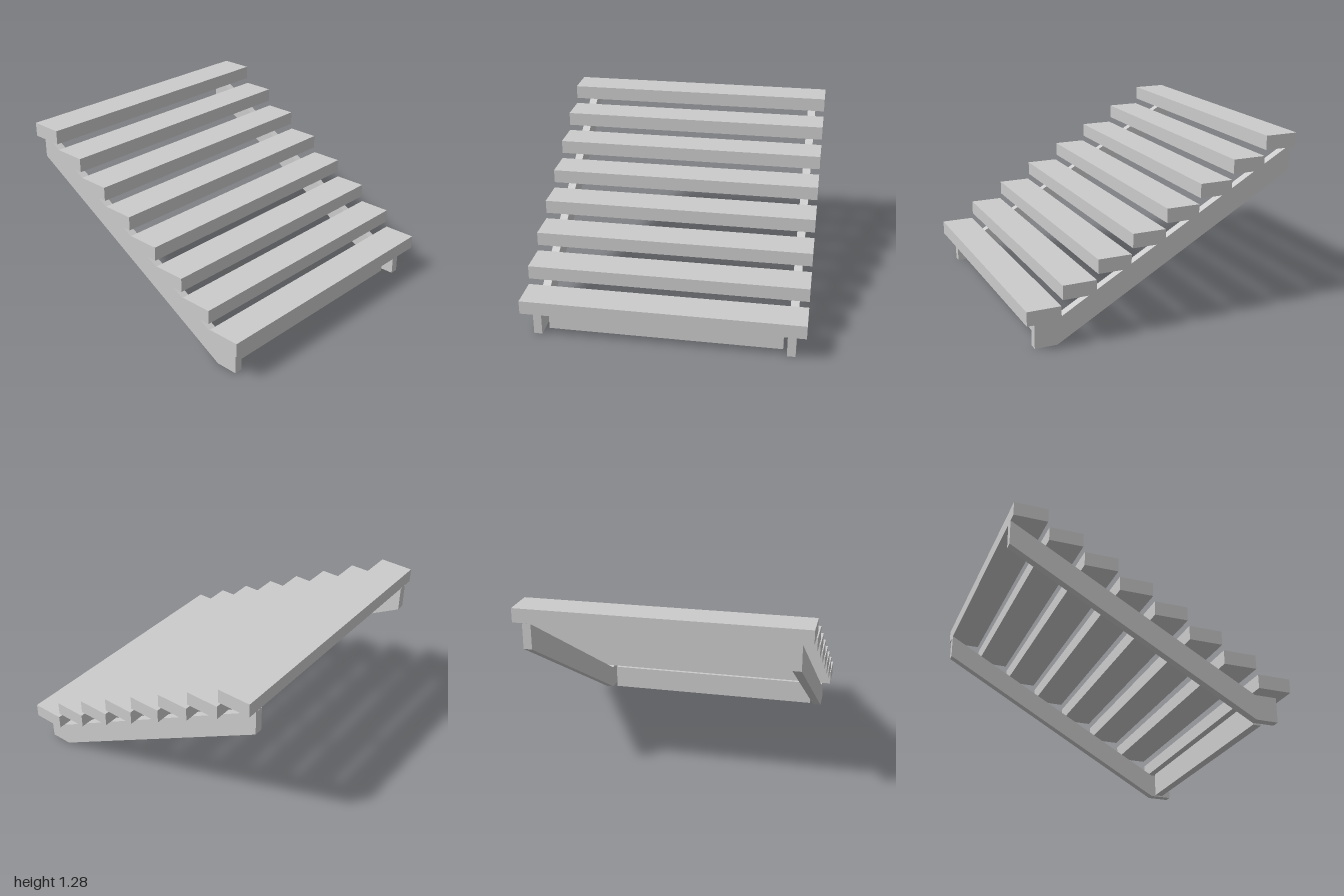
import * as THREE from 'three';

const material = new THREE.MeshStandardMaterial({ color: 0xcccccc, flatShading: true });

function addBox(group, name, size, position) {
  const mesh = new THREE.Mesh(new THREE.BoxGeometry(...size), material);
  mesh.name = name;
  mesh.position.set(...position);
  group.add(mesh);
}

export function createModel() {
  const group = new THREE.Group();
  group.name = 'openStairs';

  // Eight floating treads
  for (let i = 0; i < 8; i++) {
    addBox(group, `tread${i + 1}`, [2, 0.1, 0.24], [0, 0.252 + i * 0.14, 0.875 - i * 0.25]);
  }

  // Sloping side beams with a squared foot; profile given as (z, y)
  const profile = [[0.92, 0], [0.92, 0.18], [0.76, 0.18], [-0.995, 1.18], [-0.995, 1.0], [0.76, 0]];
  const shape = new THREE.Shape(profile.map(([z, y]) => new THREE.Vector2(-z, y)));
  const beam = new THREE.ExtrudeGeometry(shape, { depth: 0.06, bevelEnabled: false });
  beam.translate(0, 0, -0.03);
  beam.rotateY(Math.PI / 2); // profile axis -> -z, thickness -> x
  for (const [name, x] of [['leftStringer', 0.9], ['rightStringer', -0.9]]) {
    const mesh = new THREE.Mesh(beam, material);
    mesh.name = name;
    mesh.position.x = x;
    group.add(mesh);
  }

  // Kick board between the feet
  addBox(group, 'kickBoard', [1.68, 0.18, 0.06], [0, 0.09, 0.81]);

  return group;
}
